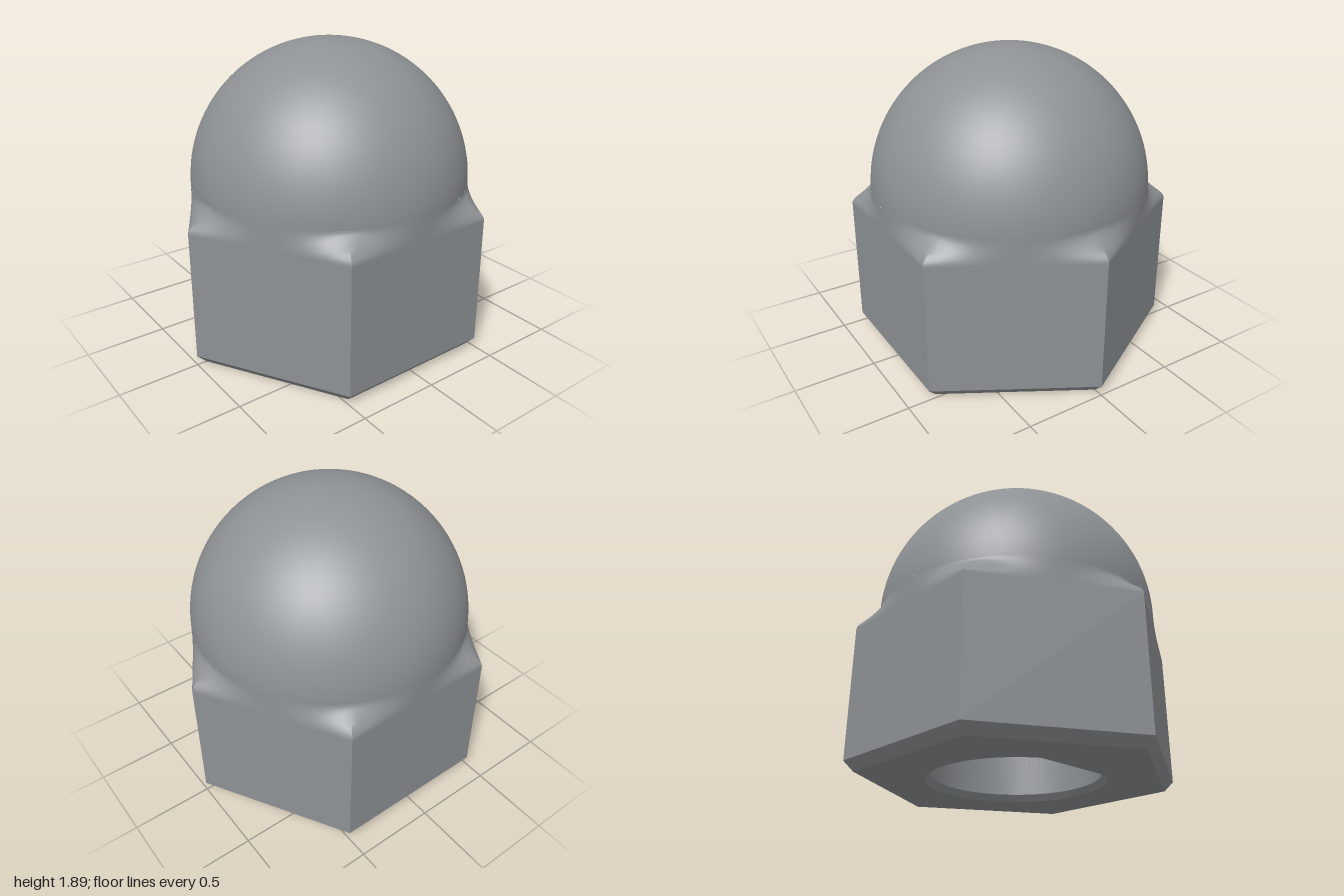
import * as THREE from 'three';
import { toCreasedNormals } from 'three/addons/utils/BufferGeometryUtils.js';

const APOTHEM = Math.sqrt(3) / 2; // hexagon corner radius is 1
const CHAMFER_Y = 0.06, SHOULDER_Y = 0.875, DOME_Y = 1.02;
const CHAMFER_R = 0.94, BORE_R = 0.5, MOUTH_R = 0.53;

// Distance from the axis to the hexagon outline, with a corner on +z
function hexRadius(angle) {
  const sector = Math.PI / 3;
  return APOTHEM / Math.cos((angle % sector) - sector / 2);
}

// Open six-sided band
function hexBand(topR, bottomR, y0, y1) {
  const g = new THREE.CylinderGeometry(topR, bottomR, y1 - y0, 6, 1, true);
  g.translate(0, (y0 + y1) / 2, 0);
  return toCreasedNormals(g, 0.3);
}

// Surface easing from the hexagon to the dome's circle
function shoulderGeometry(segments = 144, levels = 16) {
  const positions = [], index = [];
  for (let j = 0; j <= levels; j++) {
    const t = j / levels;
    const blend = t * t * (3 - 2 * t);
    for (let i = 0; i < segments; i++) {
      const a = (i / segments) * Math.PI * 2;
      const r = THREE.MathUtils.lerp(hexRadius(a), APOTHEM, blend);
      positions.push(r * Math.sin(a), THREE.MathUtils.lerp(SHOULDER_Y, DOME_Y, t), r * Math.cos(a));
      if (j < levels) {
        const n = (i + 1) % segments;
        const p = j * segments + i, q = j * segments + n;
        index.push(p, q, q + segments, p, q + segments, p + segments);
      }
    }
  }
  const g = new THREE.BufferGeometry();
  g.setAttribute('position', new THREE.Float32BufferAttribute(positions, 3));
  g.setIndex(index);
  return toCreasedNormals(g, 0.5);
}

export function createModel() {
  const group = new THREE.Group();
  group.name = 'domedCapNut';
  const steel = new THREE.MeshStandardMaterial({ color: 0x8e9295 });
  steel.name = 'steel grey';

  function add(name, geometry) {
    const mesh = new THREE.Mesh(geometry, steel);
    mesh.name = name;
    group.add(mesh);
  }

  // Hexagonal body with a chamfered lower rim
  add('hexBody', hexBand(1, 1, CHAMFER_Y, SHOULDER_Y));
  add('lowerChamfer', hexBand(1, CHAMFER_R, 0, CHAMFER_Y));
  add('shoulder', shoulderGeometry());

  // Round cap
  const dome = new THREE.SphereGeometry(APOTHEM, 96, 32, 0, Math.PI * 2, 0, Math.PI / 2);
  dome.translate(0, DOME_Y, 0);
  add('dome', dome);

  // Underside with the bore opening
  const outline = new THREE.Shape();
  const corners = Array.from({ length: 6 }, (_, i) => {
    const a = (i * Math.PI) / 3;
    return new THREE.Vector2(CHAMFER_R * Math.sin(a), CHAMFER_R * Math.cos(a));
  });
  outline.setFromPoints(corners);
  const opening = new THREE.Path();
  opening.absarc(0, 0, MOUTH_R, 0, Math.PI * 2);
  outline.holes.push(opening);
  const base = new THREE.ShapeGeometry(outline, 48);
  base.rotateX(Math.PI / 2);
  add('underside', base);

  // Blind bore, listed from its closed end down to the countersunk mouth
  const profile = [[0, 1.2], [BORE_R, 1.2], [BORE_R, 0.04], [MOUTH_R, 0]];
  const bore = new THREE.LatheGeometry(profile.map(([r, y]) => new THREE.Vector2(r, y)), 96);
  add('bore', toCreasedNormals(bore, 0.4));

  return group;
}
